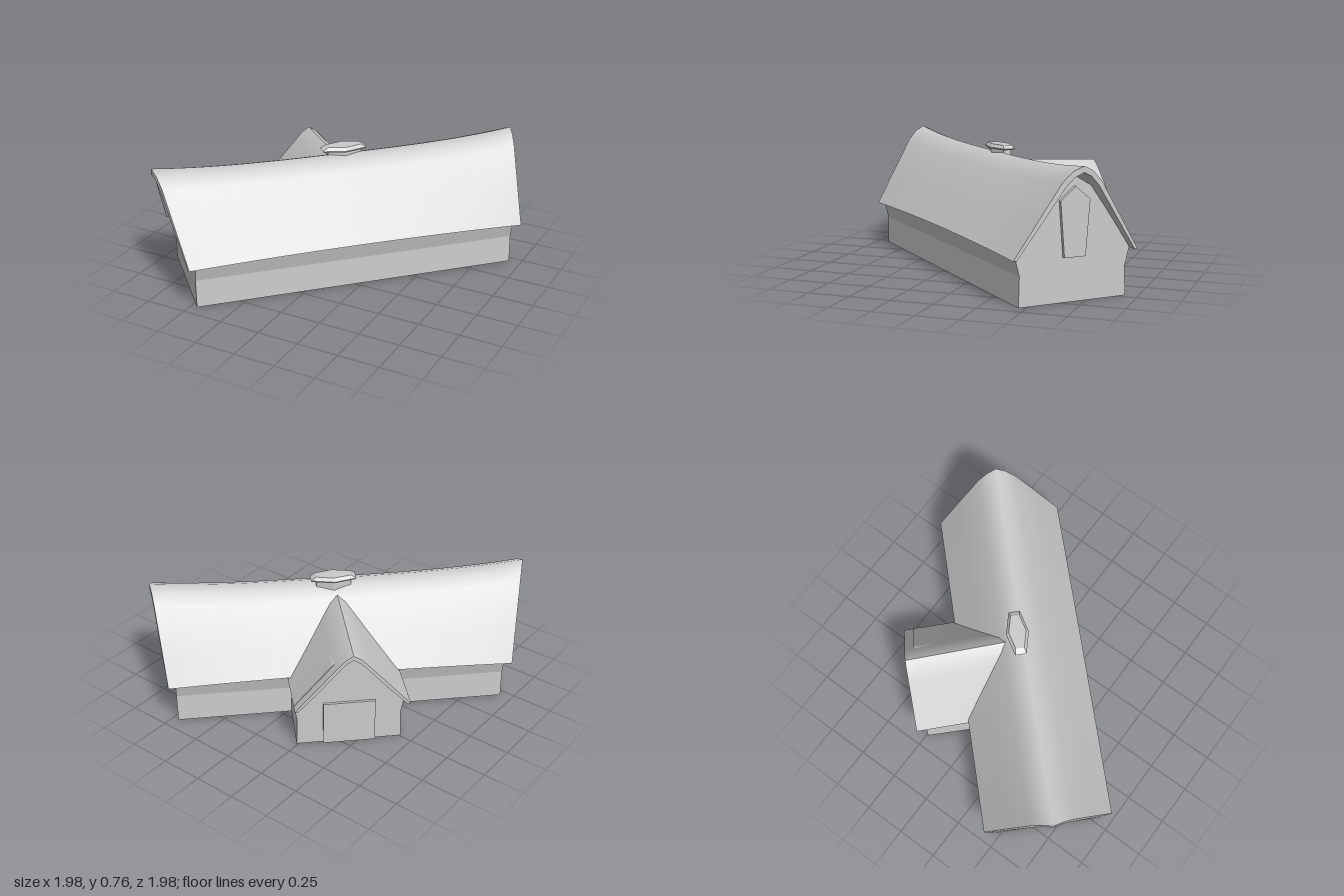
import * as THREE from 'three';
import { toCreasedNormals } from 'three/addons/utils/BufferGeometryUtils.js';

const smooth = new THREE.MeshStandardMaterial({ color: 0xcccccc });
const flat = new THREE.MeshStandardMaterial({ color: 0xcccccc, flatShading: true });

function addMesh(parent, name, geometry, material = flat) {
  const mesh = new THREE.Mesh(geometry, material);
  mesh.name = name;
  parent.add(mesh);
  return mesh;
}

// Mirrors a half profile (eave to ridge) into a full one, from -z to +z
function fullProfile(half) {
  const left = half.map(([w, h]) => [-w, h]);
  const right = half.slice(0, -1).reverse();
  return [...left, ...right];
}

// Roof shell along x: outer skin, underside, eave edges and verge ends.
// place(s, w, h) gives the point at station s, offset w and relative height h.
function roofShell(outerHalf, innerHalf, stations, place) {
  const ring = [...fullProfile(outerHalf), ...fullProfile(innerHalf).reverse()];
  const n = ring.length, position = [], index = [];
  for (let i = 0; i <= stations; i++) {
    for (const [w, h] of ring) position.push(...place(i / stations, w, h));
  }
  for (let i = 0; i < stations; i++) {
    for (let j = 0; j < n; j++) {
      const a = i * n + j, b = i * n + (j + 1) % n;
      index.push(a, b, a + n, b, b + n, a + n);
    }
  }
  const last = stations * n;
  for (let j = 0; j < n / 2 - 1; j++) {
    const a = j, b = j + 1, c = n - 2 - j, d = n - 1 - j;
    index.push(a, d, b, b, d, c);
    index.push(last + a, last + b, last + d, last + b, last + c, last + d);
  }
  const geometry = new THREE.BufferGeometry();
  geometry.setAttribute('position', new THREE.Float32BufferAttribute(position, 3));
  geometry.setIndex(index);
  return toCreasedNormals(geometry, 0.9);
}

// Extrudes a symmetric half outline (bottom to apex) along z
function prism(half, depth) {
  const mirrored = half.filter(([w]) => w > 0).reverse().map(([w, h]) => [-w, h]);
  const shape = new THREE.Shape([...half, ...mirrored].map(([w, h]) => new THREE.Vector2(w, h)));
  return new THREE.ExtrudeGeometry(shape, { depth, bevelEnabled: false });
}

export function createModel() {
  const model = new THREE.Group();
  model.name = 'barn';
  const barn = new THREE.Group();
  barn.name = 'barnBody';
  barn.rotation.y = Math.PI / 4; // the building stands diagonally
  model.add(barn);

  // Main hall walls, flaring out under the eaves, with gables
  const hall = prism([[0.33, 0], [0.325, 0.17], [0.352, 0.275], [0.11, 0.63], [0, 0.693]], 1.96);
  addMesh(barn, 'hallWalls', hall.translate(0, 0, -0.98).rotateY(Math.PI / 2));

  // Main roof: sagging ridge, slightly bowed eaves, verges raked outward
  const mainRoof = roofShell(
    [[0.382, 0], [0.25, 0.415], [0.117, 0.83], [0.06, 0.945], [0, 1]],
    [[0.362, 0], [0.23, 0.39], [0.1, 0.775], [0.05, 0.88], [0, 0.93]],
    20,
    (t, w, h) => {
      const s = t * 2 - 1, k = 1 - Math.abs(w) / 0.382;
      const reach = 1.02 + (s < 0 ? 0.125 : 0.07) * k;
      const eave = 0.283 - 0.018 * s * s;
      const ridge = 0.712 + 0.043 * Math.abs(s) ** 3;
      return [s * reach, eave + (ridge - eave) * h, w];
    });
  addMesh(barn, 'mainRoof', mainRoof, smooth);

  // Cross wing walls
  const wing = prism([[0.305, 0], [0.3, 0.17], [0.318, 0.27], [0.1, 0.525], [0, 0.6]], 0.645);
  addMesh(barn, 'wingWalls', wing.translate(0, 0, -0.645));

  // Cross wing roof, its ridge rising into the main roof
  const wingRoof = roofShell(
    [[0.333, 0], [0.22, 0.365], [0.1, 0.75], [0.045, 0.92], [0, 1]],
    [[0.313, 0], [0.2, 0.34], [0.09, 0.7], [0.04, 0.85], [0, 0.92]],
    8,
    (t, w, h) => {
      const ridge = 0.66 - 0.04 * t;
      return [0.7 * t, 0.265 + (ridge - 0.265) * h, w - 0.016 * t];
    });
  addMesh(barn, 'wingRoof', wingRoof.rotateY(Math.PI / 2), smooth);

  // Wing door
  const door = addMesh(barn, 'wingDoor', new THREE.BoxGeometry(0.3, 0.275, 0.04));
  door.position.set(0, 0.1375, -0.64);

  // Loft hatch on each gable
  for (const side of [-1, 1]) {
    const hatch = prism([[0.065, 0.25], [0.09, 0.56], [0, 0.635]], 0.04);
    hatch.translate(0, 0, 0.96).rotateY(side * Math.PI / 2);
    addMesh(barn, side < 0 ? 'rightHatch' : 'leftHatch', hatch);
  }

  // Ridge vent: stretched six-sided body and cap
  const vent = new THREE.Group();
  vent.name = 'ridgeVent';
  vent.position.set(0.013, 0, -0.027);
  vent.scale.set(0.156, 1, 0.067);
  barn.add(vent);
  addMesh(vent, 'ventBody', new THREE.CylinderGeometry(0.76, 0.76, 0.1, 6)).position.y = 0.685;
  addMesh(vent, 'ventRim', new THREE.CylinderGeometry(1, 0.96, 0.008, 6)).position.y = 0.734;
  addMesh(vent, 'ventCap', new THREE.CylinderGeometry(0.76, 1, 0.019, 6)).position.y = 0.7475;

  return model;
}
